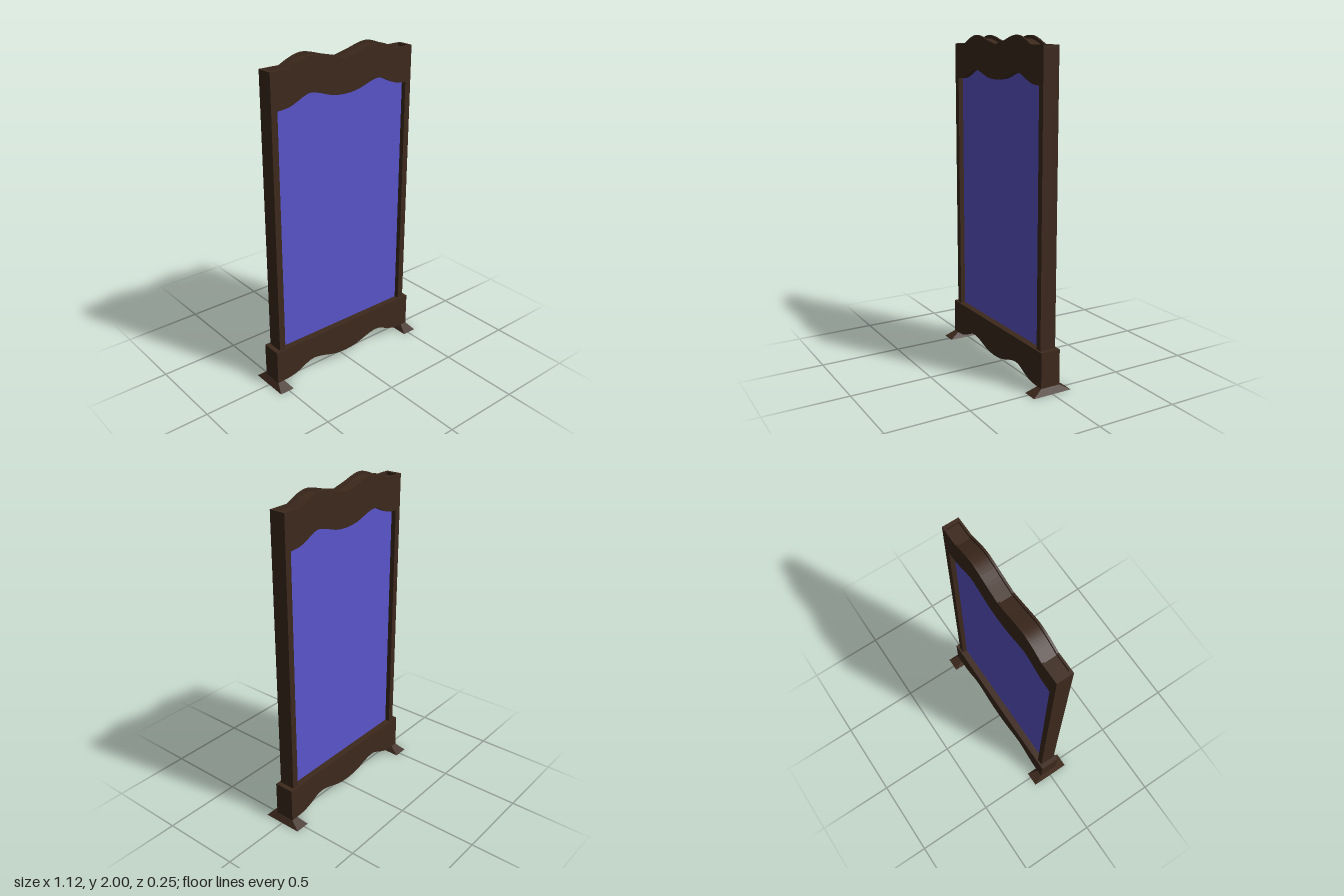
import * as THREE from 'three';

const wood = new THREE.MeshStandardMaterial({ color: 0x3d291d });
const blue = new THREE.MeshStandardMaterial({ color: 0x5a55cc });

// Half of a wavy edge, as [x, y] from the centre to the +x end
const crest = [[0, 1.948], [0.1, 1.972], [0.17, 1.992], [0.22, 2], [0.26, 1.997], [0.31, 1.982], [0.38, 1.95]];
const arch = [[0, 1.747], [0.05, 1.75], [0.1, 1.758], [0.2, 1.79], [0.25, 1.797], [0.29, 1.785],
  [0.36, 1.753], [0.4, 1.741], [0.465, 1.735]];
const apron = [[0, 0.047], [0.05, 0.05], [0.1, 0.058], [0.2, 0.089], [0.25, 0.097], [0.29, 0.093],
  [0.36, 0.062], [0.42, 0.042], [0.49, 0.036], [0.535, 0.035]];

// Smooth the half edge, then mirror it into a full edge running from -x to +x
function wave(half) {
  const curve = new THREE.CatmullRomCurve3(half.map(([x, y]) => new THREE.Vector3(x, y, 0)));
  const right = curve.getPoints(20).map(p => new THREE.Vector2(p.x, p.y));
  const left = right.slice(1).reverse().map(p => new THREE.Vector2(-p.x, p.y));
  return [...left, ...right];
}

const V = (x, y) => new THREE.Vector2(x, y);

function add(group, name, geometry, material = wood, x = 0, y = 0, z = 0) {
  const mesh = new THREE.Mesh(geometry, material);
  mesh.name = name;
  mesh.position.set(x, y, z);
  group.add(mesh);
  return mesh;
}

// Extrude an outline to a depth centred on z = 0
function slab(points, depth) {
  const g = new THREE.ExtrudeGeometry(new THREE.Shape(points), { depth, bevelEnabled: false });
  return g.translate(0, 0, -depth / 2);
}

// Foot: a box whose top corners are drawn in to meet the base
function footGeometry() {
  const g = new THREE.BoxGeometry(0.094, 0.036, 0.25).toNonIndexed();
  const p = g.attributes.position;
  for (let i = 0; i < p.count; i++) {
    if (p.getY(i) > 0) p.setXYZ(i, p.getX(i) > 0 ? 0.022 : -0.022, 0.018, Math.sign(p.getZ(i)) * 0.062);
  }
  g.computeVertexNormals();
  return g;
}

export function createModel() {
  const model = new THREE.Group();
  model.name = 'framedPanel';

  const W = 0.505, D = 0.1, LIP = 0.02, WALL = 0.012;
  const top = [V(-W, 1.95), ...wave(crest), V(W, 1.95)];
  const floor = top.map(p => V(p.x, p.y - LIP));

  // Stiles and wavy top rail in one piece
  add(model, 'frame', slab([V(-W, 0.25), V(-0.465, 0.25), ...wave(arch), V(0.465, 0.25), V(W, 0.25),
    ...[...floor].reverse()], D));

  // Raised lip around the sunken top
  const lip = slab([...floor, ...[...top].reverse()], WALL);
  for (const s of [1, -1]) {
    add(model, s > 0 ? 'frontLip' : 'backLip', lip, wood, 0, 0, s * (D - WALL) / 2);
    add(model, s > 0 ? 'leftLip' : 'rightLip', new THREE.BoxGeometry(0.02, LIP, D - 2 * WALL),
      wood, s * (W - 0.01), 1.95 - LIP / 2, 0);
  }

  // Panel set back within the frame
  add(model, 'panel', new THREE.BoxGeometry(0.93, 1.56, 0.04), blue, 0, 1.03, 0);

  // Base with wavy lower edge
  add(model, 'base', slab([...wave(apron), V(0.535, 0.25), V(-0.535, 0.25)], 0.124));

  // Splayed feet
  const foot = footGeometry();
  for (const s of [1, -1]) add(model, s > 0 ? 'leftFoot' : 'rightFoot', foot, wood, s * 0.513, 0.018, 0);

  return model;
}
